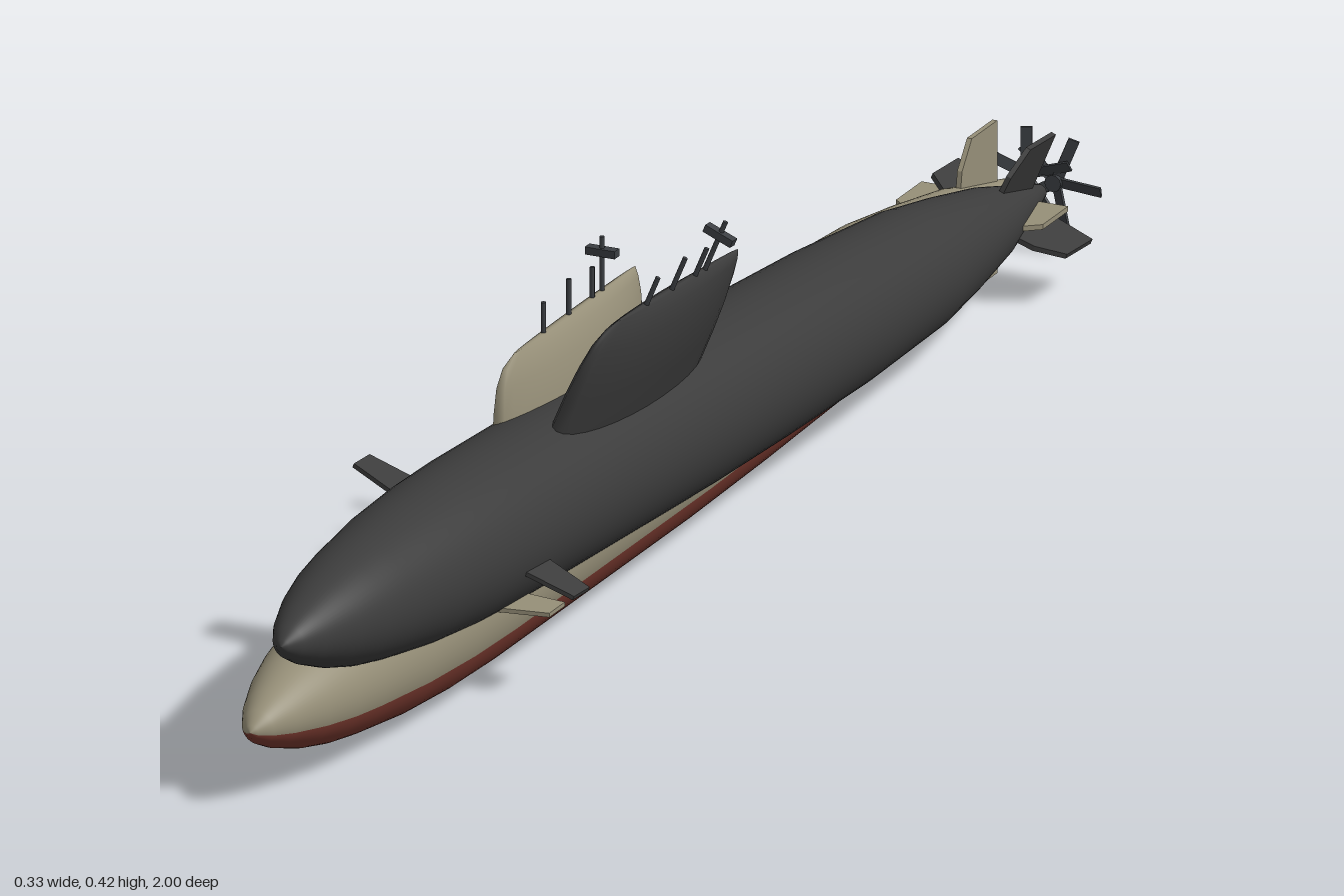
import * as THREE from 'three';

const mat = (name, color, side = THREE.FrontSide) => {
  const m = new THREE.MeshStandardMaterial({ color, side });
  m.name = name;
  return m;
};

// hull profile: [radius, z] from stern to bow
const PROFILE = [
  [0, -0.945], [0.009, -0.943], [0.02, -0.9], [0.032, -0.85], [0.044, -0.8], [0.06, -0.7],
  [0.073, -0.6], [0.084, -0.4], [0.089, -0.2], [0.092, 0], [0.092, 0.5], [0.0895, 0.6],
  [0.083, 0.7], [0.071, 0.8], [0.063, 0.85], [0.051, 0.9], [0.034, 0.95], [0.02, 0.98],
  [0.008, 0.996], [0, 1],
];

function hullSector(start, length, segments) {
  const pts = PROFILE.map(([r, z]) => new THREE.Vector2(r, z));
  return new THREE.LatheGeometry(pts, segments, start, length).rotateX(Math.PI / 2);
}

// flat fin lying in the x-z plane, outline given as [span, z]
function finGeometry(outline, thickness) {
  const shape = new THREE.Shape(outline.map(([x, z]) => new THREE.Vector2(x, z)));
  return new THREE.ExtrudeGeometry(shape, { depth: thickness, bevelEnabled: false })
    .translate(0, 0, -thickness / 2).rotateX(Math.PI / 2);
}

// lens-shaped tower lofted through rings: [height, half width, front z, back z]
function towerGeometry() {
  const rings = [
    [0.06, 0.03, 0.37, 0.005], [0.13, 0.029, 0.37, 0.005], [0.165, 0.026, 0.368, 0.005],
    [0.195, 0.02, 0.364, 0.006], [0.215, 0.012, 0.352, 0.009], [0.226, 0.004, 0.325, 0.015],
  ];
  const n = 28, pos = [], idx = [];
  for (const [h, w, f, b] of rings) {
    for (let i = 0; i < n; i++) {
      const t = (i / n) * Math.PI * 2, s = Math.sin(t);
      pos.push(w * Math.sign(s) * Math.abs(s) ** 0.9, h, (f + b) / 2 + ((f - b) / 2) * Math.cos(t));
    }
  }
  for (let r = 0; r < rings.length - 1; r++) {
    for (let i = 0; i < n; i++) {
      const a = r * n + i, b = r * n + ((i + 1) % n);
      idx.push(a, b, b + n, a, b + n, a + n);
    }
  }
  const top = (rings.length - 1) * n;
  for (let i = 1; i < n - 1; i++) idx.push(top, top + i, top + i + 1);
  const g = new THREE.BufferGeometry();
  g.setAttribute('position', new THREE.Float32BufferAttribute(pos, 3));
  g.setIndex(idx);
  g.computeVertexNormals();
  return g;
}

function createSubmarine(name, upper, lower, fittings) {
  const sub = new THREE.Group();
  sub.name = name;
  const add = (partName, geometry, material, parent = sub) => {
    const m = new THREE.Mesh(geometry, material);
    m.name = partName;
    parent.add(m);
    return m;
  };

  // hull, with the underside as its own sector
  const half = THREE.MathUtils.degToRad(71);
  add('lowerHull', hullSector(-half, 2 * half, 24), lower);
  add('upperHull', hullSector(half, 2 * Math.PI - 2 * half, 36), upper);
  add('tower', towerGeometry(), upper);

  // bow planes
  const bow = finGeometry([[0.05, 0.488], [0.149, 0.502], [0.149, 0.542], [0.05, 0.558]], 0.005);
  for (const turn of [0, Math.PI]) {
    const plane = add('bowPlane', turn ? bow.clone().rotateZ(Math.PI) : bow, upper);
    plane.position.y = 0.011;
  }

  // cross-shaped stern fins
  const fin = finGeometry([[0, -0.905], [0.091, -0.905], [0.091, -0.84], [0.06, -0.815], [0, -0.805]], 0.006);
  for (let i = 0; i < 4; i++) add('sternFin', fin, upper).rotation.z = (i * Math.PI) / 2;

  // masts: [z, top height]
  for (const [z, top] of [[0.25, 0.262], [0.185, 0.268], [0.125, 0.262], [0.1, 0.29]]) {
    const len = top - 0.2;
    add('mast', new THREE.CylinderGeometry(0.003, 0.003, len, 8), fittings).position.set(0, top - len / 2, z);
  }
  add('mastCrossbar', new THREE.BoxGeometry(0.037, 0.009, 0.012), fittings).position.set(0, 0.272, 0.1);

  // propeller
  const prop = new THREE.Group();
  prop.name = 'propeller';
  prop.position.z = -0.986;
  sub.add(prop);
  add('propellerHub', new THREE.CylinderGeometry(0.01, 0.007, 0.018, 12).rotateX(Math.PI / 2), fittings, prop);
  const blade = new THREE.BoxGeometry(0.013, 0.05, 0.003).rotateY(0.4).translate(0, 0.031, 0);
  for (let i = 0; i < 5; i++) add('propellerBlade', blade, fittings, prop).rotation.z = (i * Math.PI * 2) / 5;
  return sub;
}

export function createModel() {
  const beige = mat('beige paint', 0x968f78);
  const red = mat('red underside', 0x78392f);
  const charcoal = mat('charcoal paint', 0x3c3c3c);
  const steel = mat('dark steel', 0x3b3e42);
  const blue = mat('blue panel', 0x4a75b0);

  const model = new THREE.Group();
  model.name = 'submarinePair';

  // upright two-tone submarine
  const light = createSubmarine('lightSubmarine', beige, red, steel);
  light.position.set(-0.015, 0.094, 0);
  const panel = new THREE.Mesh(new THREE.BoxGeometry(0.006, 0.045, 0.085), blue);
  panel.name = 'towerPanel';
  panel.position.set(-0.0255, 0.152, 0.222);
  panel.rotation.set(0, 0.025, -0.1);
  light.add(panel);
  model.add(light);

  // dark submarine, rolled to its left and pitched nose up
  const dark = createSubmarine('darkSubmarine', charcoal, charcoal, steel);
  dark.position.set(0.02, 0.144, -0.005);
  dark.rotation.set(-0.056, 0, THREE.MathUtils.degToRad(-22));
  model.add(dark);
  return model;
}
